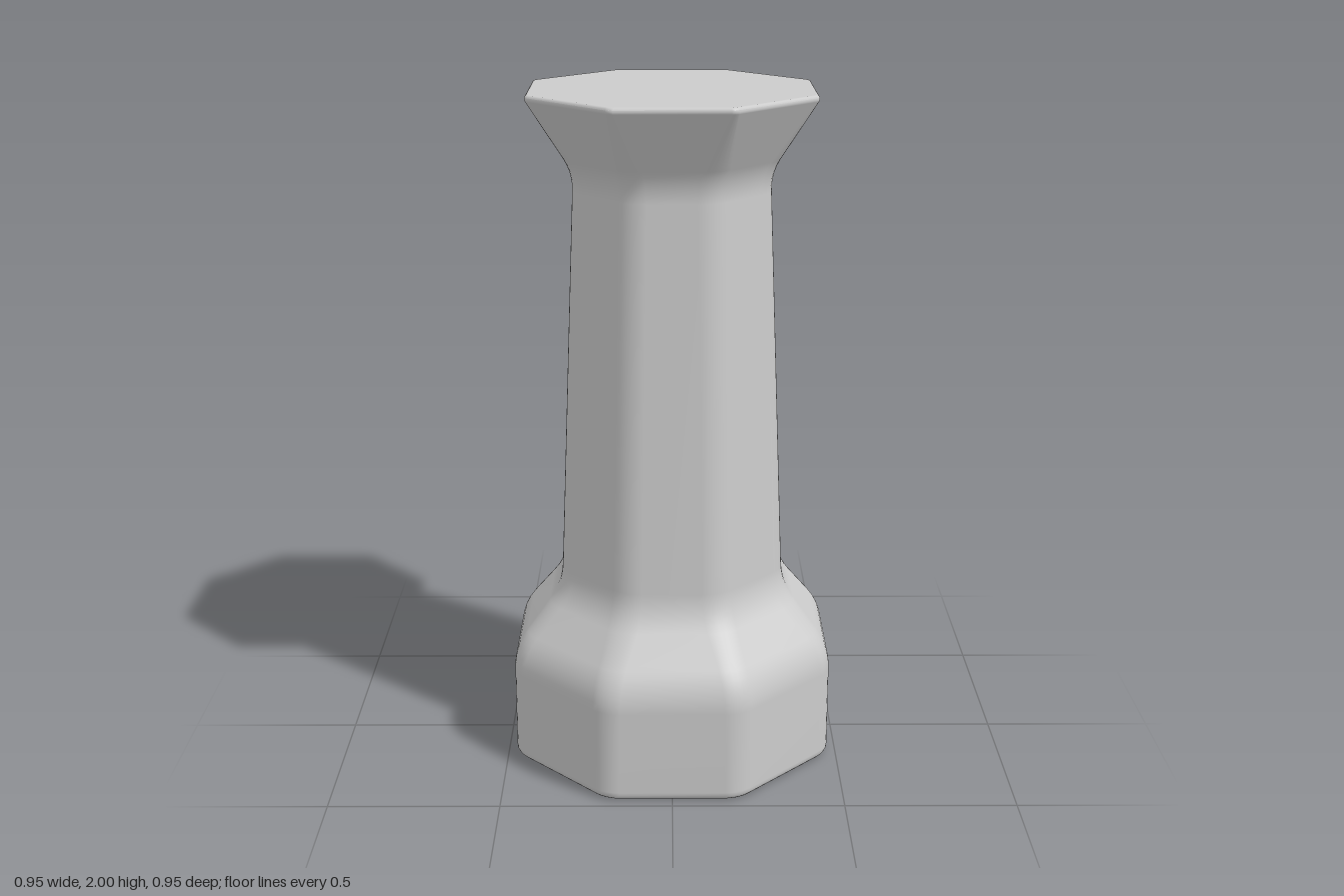
import * as THREE from 'three';

const SIDES = 8, ARC = 5, FILLET = 5;

// Profile corners: [apothem, height, fillet length, corner radius of the octagon]
const corners = [
  [0.475, 0, 0.028, 0.10],
  [0.475, 0.345, 0.065, 0.11],
  [0.331, 0.53, 0.06, 0.12],
  [0.28, 1.77, 0.05, 0.11],
  [0.406, 1.987, 0.006, 0.03],
  [0.402, 2, 0.008, 0.03],
];

// Rounds every profile corner with a short quadratic curve
function roundedProfile() {
  const pts = corners.map(([a, y]) => new THREE.Vector2(a, y));
  const path = [new THREE.Vector2(0, 0), ...pts, new THREE.Vector2(0, 2)];
  const rings = [];
  corners.forEach(([, , len, radius], i) => {
    const p = path[i + 1];
    const toward = (q) => q.clone().sub(p).setLength(len).add(p);
    const curve = new THREE.QuadraticBezierCurve(toward(path[i]), p, toward(path[i + 2]));
    for (const q of curve.getPoints(FILLET)) rings.push({ apothem: q.x, y: q.y, radius });
  });
  return rings;
}

// One octagonal ring with rounded corners, flats facing the axes
function addRing(positions, { apothem, y, radius }) {
  const step = (Math.PI * 2) / SIDES;
  const d = (apothem - radius) / Math.cos(step / 2);
  for (let s = 0; s < SIDES; s++) {
    const mid = (s + 0.5) * step;
    for (let k = 0; k <= ARC; k++) {
      const t = (s + k / ARC) * step;
      positions.push(d * Math.cos(mid) + radius * Math.cos(t), y, d * Math.sin(mid) + radius * Math.sin(t));
    }
  }
}

function columnGeometry() {
  const rings = roundedProfile();
  const n = SIDES * (ARC + 1);
  const positions = [], index = [];
  rings.forEach((r) => addRing(positions, r));
  const bottom = rings.length * n, top = bottom + 1;
  positions.push(0, 0, 0, 0, 2, 0);
  const last = (rings.length - 1) * n;
  for (let j = 0; j < n; j++) {
    const k = (j + 1) % n;
    // walls
    for (let i = 0; i < last; i += n) {
      index.push(i + j, i + n + j, i + k, i + k, i + n + j, i + n + k);
    }
    // flat caps
    index.push(bottom, j, k, top, last + k, last + j);
  }
  const geometry = new THREE.BufferGeometry();
  geometry.setAttribute('position', new THREE.Float32BufferAttribute(positions, 3));
  geometry.setIndex(index);
  geometry.computeVertexNormals();
  return geometry;
}

export function createModel() {
  const group = new THREE.Group();
  group.name = 'octagonalPillar';
  // foot, tapered shaft and flared head are one continuous skin
  const column = new THREE.Mesh(columnGeometry(), new THREE.MeshStandardMaterial({ color: 0xcccccc }));
  column.name = 'column';
  group.add(column);
  return group;
}
